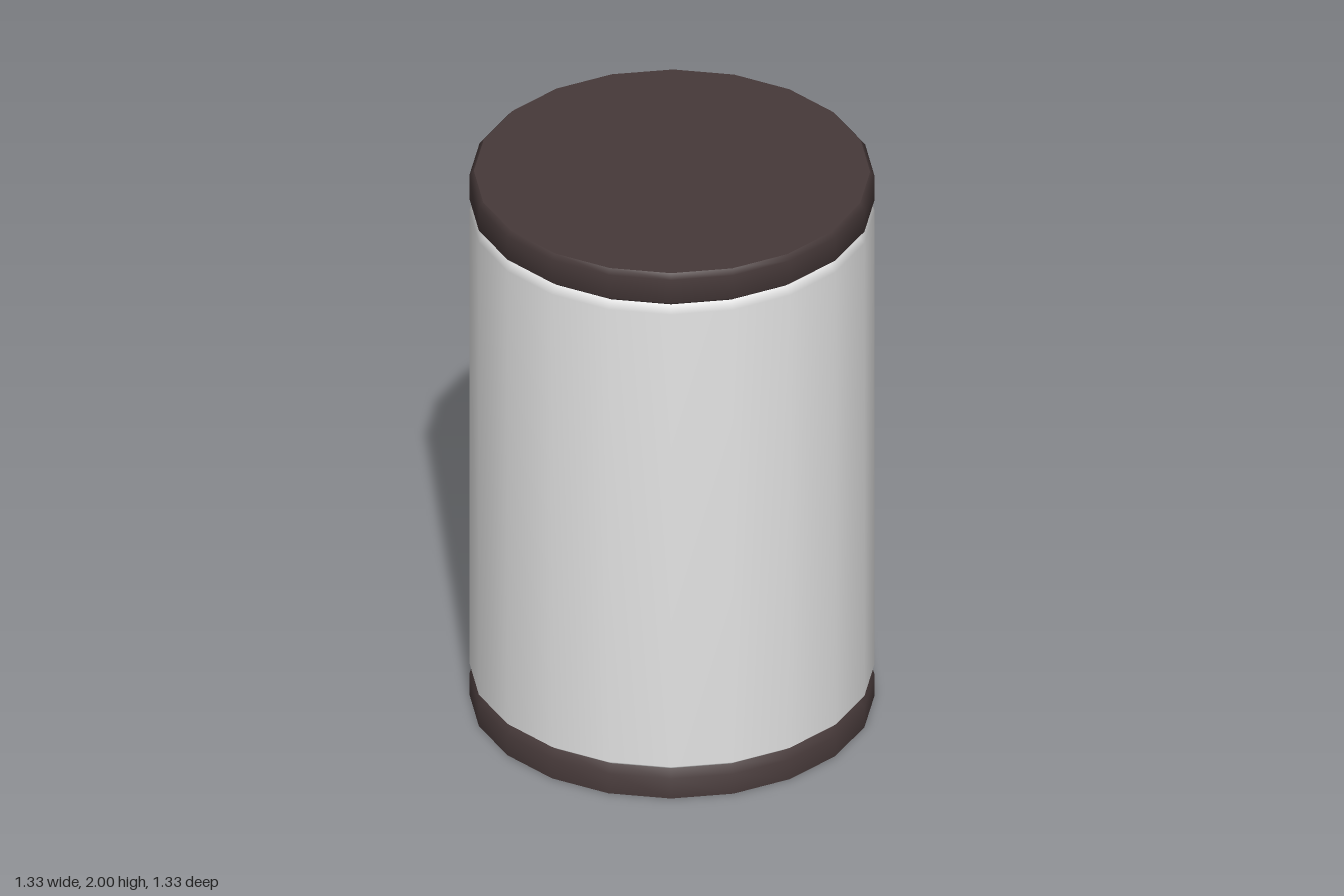
import * as THREE from 'three';

const SIDES = 20;

export function createModel() {
  const model = new THREE.Group();
  model.name = 'canister';

  const makeMaterial = (name, color) => {
    const m = new THREE.MeshStandardMaterial({ color, side: THREE.DoubleSide });
    m.name = name;
    return m;
  };
  const pale = makeMaterial('pale body', 0xe4e4e4);
  const dark = makeMaterial('dark trim', 0x463939);

  // Open shell turned from [radius, height] points, listed bottom to top
  const addShell = (name, material, points) => {
    const profile = points.map(([r, y]) => new THREE.Vector2(r, y));
    const mesh = new THREE.Mesh(new THREE.LatheGeometry(profile, SIDES), material);
    mesh.name = name;
    model.add(mesh);
  };

  // Body narrows to a groove at both ends
  addShell('body', pale, [[0.635, 0.098], [0.665, 0.12], [0.665, 1.85], [0.635, 1.872]]);

  // Thin base band, open underneath
  addShell('baseBand', dark, [[0.665, 0], [0.665, 0.075], [0.635, 0.098]]);

  // Lid rim with a bevelled upper edge
  addShell('lidRim', dark, [[0.635, 1.872], [0.665, 1.895], [0.665, 1.982], [0.65, 2]]);

  // Flat lid top
  const top = new THREE.Mesh(new THREE.CircleGeometry(0.65, SIDES).rotateX(-Math.PI / 2), dark);
  top.name = 'lidTop';
  top.position.y = 2;
  model.add(top);

  return model;
}
